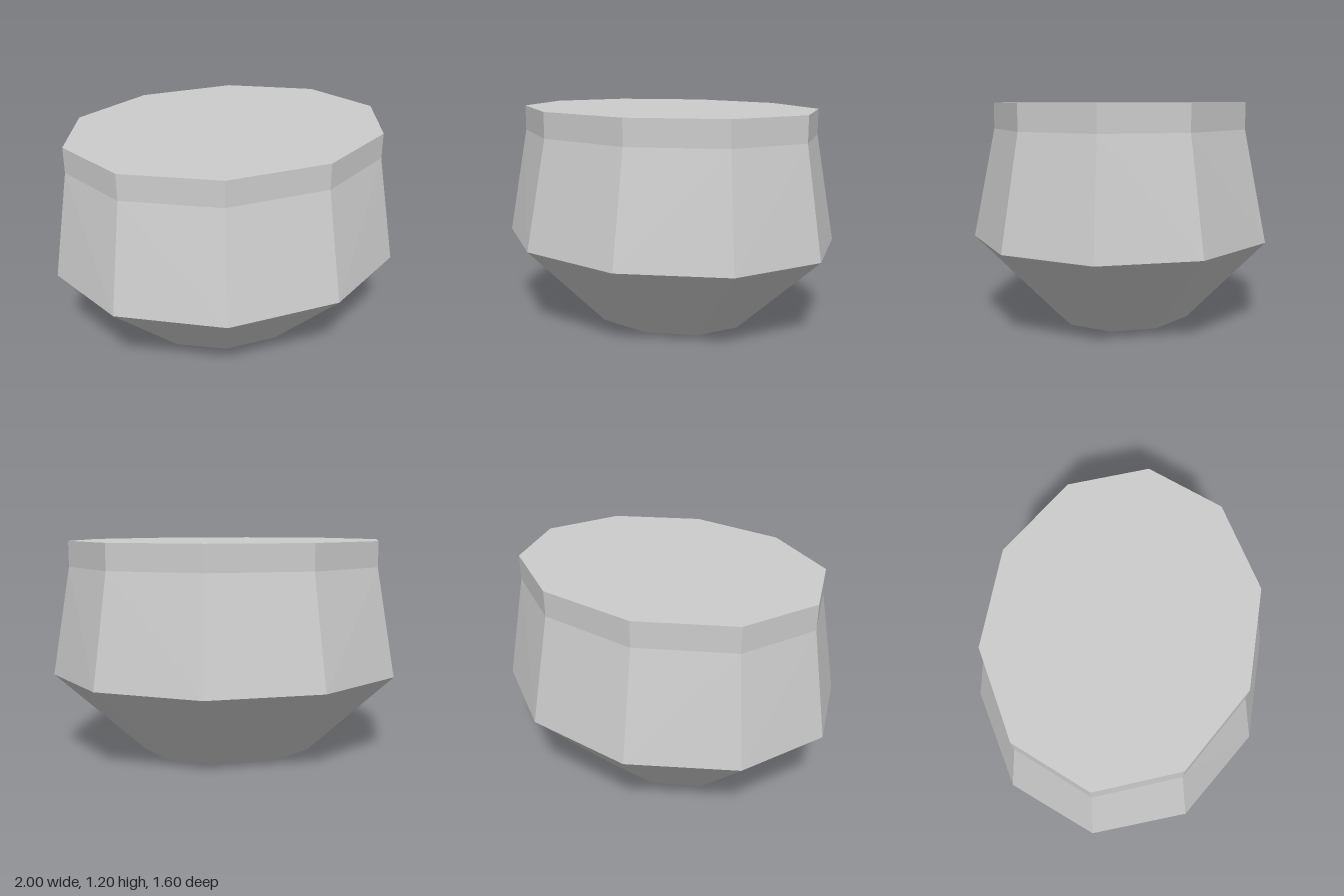
import * as THREE from 'three';

const SIDES = 10;
// Rings from foot to rim: height, half-width in x, radius in z
const RINGS = [
  [0, 0.5, 0.4],
  [0.463, 1, 0.841],
  [1.06, 0.9, 0.717],
  [1.2, 0.9, 0.717],
];

function ringPoint([y, rx, rz], i) {
  const a = (i / SIDES) * Math.PI * 2;
  return [rx * Math.cos(a), y, rz * Math.sin(a)];
}

function facetedMesh(name, corners, material) {
  const geometry = new THREE.BufferGeometry();
  geometry.setAttribute('position', new THREE.Float32BufferAttribute(corners.flat(), 3));
  geometry.computeVertexNormals();
  const mesh = new THREE.Mesh(geometry, material);
  mesh.name = name;
  return mesh;
}

// Band of sloping panels between two rings
function band(name, low, high, material) {
  const corners = [];
  for (let i = 0; i < SIDES; i++) {
    const l0 = ringPoint(low, i), l1 = ringPoint(low, i + 1);
    const h0 = ringPoint(high, i), h1 = ringPoint(high, i + 1);
    // Each panel's diagonal starts at the upper corner farther from the middle
    if (Math.abs(h0[0]) > Math.abs(h1[0])) corners.push(l1, l0, h0, l1, h0, h1);
    else corners.push(l1, l0, h1, l0, h0, h1);
  }
  return facetedMesh(name, corners, material);
}

// Flat end face
function cap(name, ring, facesUp, material) {
  const corners = [];
  for (let i = 0; i < SIDES; i++) {
    const p = ringPoint(ring, i), q = ringPoint(ring, i + 1);
    corners.push([0, ring[0], 0], ...(facesUp ? [q, p] : [p, q]));
  }
  return facetedMesh(name, corners, material);
}

export function createModel() {
  const group = new THREE.Group();
  group.name = 'facetedPot';
  const grey = new THREE.MeshStandardMaterial({ color: 0xcccccc });
  grey.name = 'light grey';

  ['lowerBody', 'upperBody', 'rim'].forEach((name, i) =>
    group.add(band(name, RINGS[i], RINGS[i + 1], grey)));
  group.add(cap('base', RINGS[0], false, grey));
  group.add(cap('top', RINGS[3], true, grey));
  return group;
}
